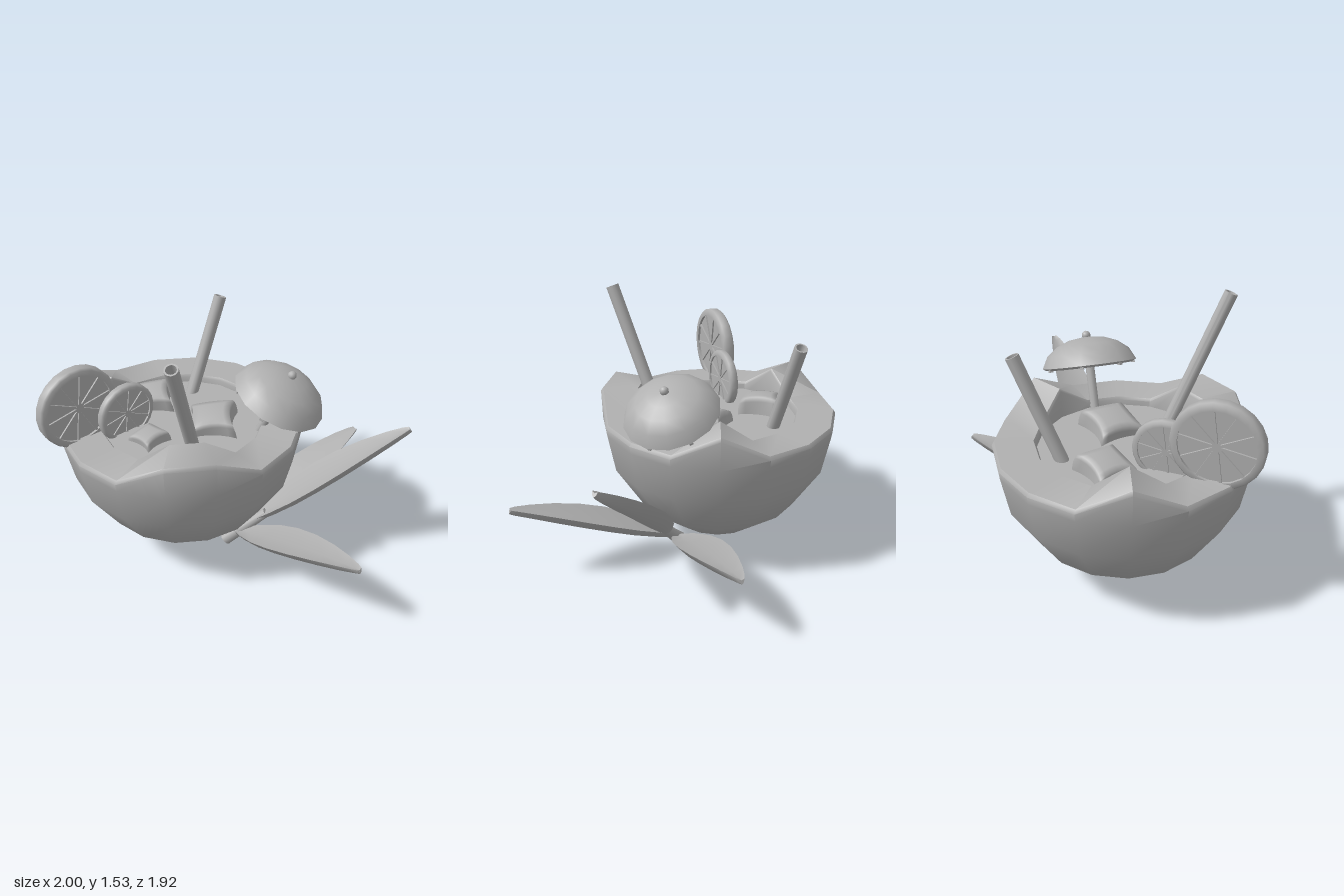
import * as THREE from 'three';
import { mergeVertices, toCreasedNormals } from 'three/addons/utils/BufferGeometryUtils.js';

const V = (x, y, z) => new THREE.Vector3(x, y, z);
const UP = V(0, 1, 0);

// Closed skin through rings that all have the same number of points
function loft(rings) {
  const n = rings[0].length, index = [];
  for (let i = 0; i < rings.length - 1; i++) {
    for (let j = 0; j < n; j++) {
      const a = i * n + j, b = i * n + (j + 1) % n, c = a + n, d = b + n;
      index.push(a, c, b, b, c, d);
    }
  }
  const g = new THREE.BufferGeometry().setFromPoints(rings.flat());
  g.setIndex(index);
  return g;
}

export function createModel() {
  const model = new THREE.Group();
  const grey = new THREE.MeshStandardMaterial({ color: 0xb0b0b0 });
  grey.name = 'plain grey';

  const add = (name, geometry, parent = model) => {
    const mesh = new THREE.Mesh(geometry, grey);
    mesh.name = name;
    parent.add(mesh);
    return mesh;
  };
  // Places an object made along +y between two points
  const aim = (obj, from, to) => {
    obj.position.copy(from).lerp(to, 0.5);
    obj.quaternion.setFromUnitVectors(UP, to.clone().sub(from).normalize());
    return obj;
  };

  // Shell: half nut with a jagged, thick rim
  const cx = -0.305, cz = 0.165, peaks = [1, 2, 7, 13];
  const ring = (r, yOf) => Array.from({ length: 16 }, (_, k) => {
    const a = k * Math.PI / 8;
    return V(cx + r * Math.cos(a), yOf(peaks.includes(k) ? 0.955 : 0.825), cz + r * Math.sin(a));
  });
  const body = [[0.001, 0.06], [0.265, 0.11], [0.485, 0.28], [0.645, 0.53], [0.69, 0.76]];
  const shell = loft([
    ...body.map(([r, y]) => ring(r, () => y)),
    ring(0.696, h => h - 0.02),
    ring(0.682, h => h),
    ring(0.475, h => h),
    ring(0.465, h => h - 0.015),
    ring(0.465, () => 0.74),
  ]);
  add('shell', toCreasedNormals(shell, 0.8));

  // Drink surface
  const drink = add('drink', new THREE.CylinderGeometry(0.462, 0.44, 0.04, 16));
  drink.position.set(cx, 0.76, cz);
  drink.rotation.y = Math.PI / 8;

  // Ice cubes: boxes with pinched sides
  const ice = (x, y, z, a, turn) => {
    let g = new THREE.BoxGeometry(2, 2, 2, 6, 6, 6);
    g.deleteAttribute('normal');
    g.deleteAttribute('uv');
    g = mergeVertices(g);
    const p = g.attributes.position;
    for (let i = 0; i < p.count; i++) {
      const X = p.getX(i), Y = p.getY(i), Z = p.getZ(i);
      const round = 1 - 0.1 * X * X * Y * Y * Z * Z;
      p.setXYZ(i,
        a * X * round * (1 - 0.22 * (1 - Z * Z)),
        a * 0.8 * Y * round * (1 - 0.1 * (X * X + Z * Z)),
        a * Z * round * (1 - 0.22 * (1 - X * X)));
    }
    g.computeVertexNormals();
    const cube = add('iceCube', g);
    cube.position.set(x, y, z);
    cube.rotation.set(0.1, turn, 0.08);
  };
  ice(-0.59, 0.785, 0.165, 0.12, 0.95);
  ice(-0.165, 0.775, 0.045, 0.135, 0.85);
  ice(-0.28, 0.775, 0.415, 0.085, 0.1);

  // Straws: hollow tubes
  const straw = (from, to) => {
    const h = from.distanceTo(to) / 2, R = 0.037, r = 0.028;
    const profile = [[r, -h], [R, -h], [R, h], [r, h], [r, -h]].map(p => new THREE.Vector2(...p));
    aim(add('straw', toCreasedNormals(new THREE.LatheGeometry(profile, 14), 0.7)), from, to);
  };
  straw(V(0.005, 0.74, 0.305), V(0.2, 1.515, 0.585));
  straw(V(-0.54, 0.74, -0.075), V(-0.555, 1.335, -0.335));

  // Citrus slices: rounded rind, recessed pulp and membranes
  const slice = (x, y, z, R, w) => {
    const g = new THREE.Group();
    g.name = 'citrusSlice';
    const h = w / 2, b = 0.012, ri = R * 0.83;
    const rind = [[ri, -h], [R - b, -h], [R, -h + b], [R, h - b], [R - b, h], [ri, h], [ri, -h]];
    const lathe = new THREE.LatheGeometry(rind.map(p => new THREE.Vector2(...p)), 22);
    add('rind', toCreasedNormals(lathe, 0.9), g);
    add('pulp', new THREE.CylinderGeometry(ri, ri, w * 0.6, 22), g);
    for (let i = 0; i < 5; i++) {
      const spoke = add('membrane', new THREE.BoxGeometry(ri * 2, w * 0.86, R * 0.06), g);
      spoke.rotation.y = i * Math.PI / 5 + 0.15;
    }
    add('core', new THREE.CylinderGeometry(R * 0.09, R * 0.09, w * 0.86, 10), g);
    g.rotation.z = Math.PI / 2;
    g.position.set(x, y, z);
    model.add(g);
  };
  slice(-0.515, 1.018, 0.715, 0.238, 0.072);
  slice(-0.457, 0.895, 0.445, 0.178, 0.054);

  // Parasol: tilted canopy, rim clips, knob and stick
  const parasol = new THREE.Group();
  parasol.name = 'parasol';
  const canopy = [[0, 0.13], [0.1, 0.113], [0.18, 0.065], [0.25, -0.012], [0.27, 0],
    [0.235, 0.068], [0.175, 0.115], [0.1, 0.145], [0, 0.157]];
  add('canopy', toCreasedNormals(
    new THREE.LatheGeometry(canopy.map(p => new THREE.Vector2(...p)), 14), 0.7), parasol);
  for (let i = 0; i < 7; i++) {
    const a = (i + 0.5) * Math.PI * 2 / 7;
    const rib = add('rib', new THREE.BoxGeometry(0.02, 0.02, 0.02), parasol);
    rib.position.set(0.25 * Math.sin(a), -0.01, 0.25 * Math.cos(a));
    rib.rotation.y = a;
  }
  add('knob', new THREE.SphereGeometry(0.025, 10, 8), parasol).position.y = 0.165;
  add('stick', new THREE.CylinderGeometry(0.026, 0.026, 0.42, 10), parasol).position.y = -0.07;
  parasol.position.set(0.125, 1.01, -0.19);
  parasol.quaternion.setFromUnitVectors(UP, V(0.37, 1, -0.27).normalize());
  model.add(parasol);

  // Leaves: tapering, shallow keeled blades
  const section = [[1, 0.035], [0, 0.012], [-1, 0.035], [-0.6, -0.025], [0, -0.05], [0.6, -0.025]];
  const outline = [[0, 0.001], [0, 0.2], [0.12, 0.58], [0.27, 0.9], [0.42, 1], [0.58, 0.93],
    [0.74, 0.72], [0.88, 0.45], [0.97, 0.23], [1, 0.12], [1, 0.001]];
  const leaf = (from, to) => {
    const d = to.clone().sub(from).normalize();
    const s = d.clone().cross(UP).normalize(), n = s.clone().cross(d);
    const rings = outline.map(([t, w]) => section.map(([u, v]) =>
      from.clone().lerp(to, t)
        .addScaledVector(s, u * w * 0.128)
        .addScaledVector(n, v * Math.sqrt(w) + 0.02 * Math.sin(Math.PI * t))));
    add('leaf', toCreasedNormals(loft(rings), 0.9));
  };
  leaf(V(0.04, 0.1, 0.04), V(0.995, 0.465, 0.035));
  leaf(V(0.02, 0.1, 0), V(0.05, 0.415, -0.96));
  leaf(V(0.1, 0.19, -0.05), V(0.69, 0.875, -0.66));

  // Leaf stem
  const a = V(-0.025, 0.03, 0.085), b = V(0.15, 0.25, -0.09);
  aim(add('stem', new THREE.CylinderGeometry(0.028, 0.042, a.distanceTo(b), 10)), a, b);

  return model;
}
